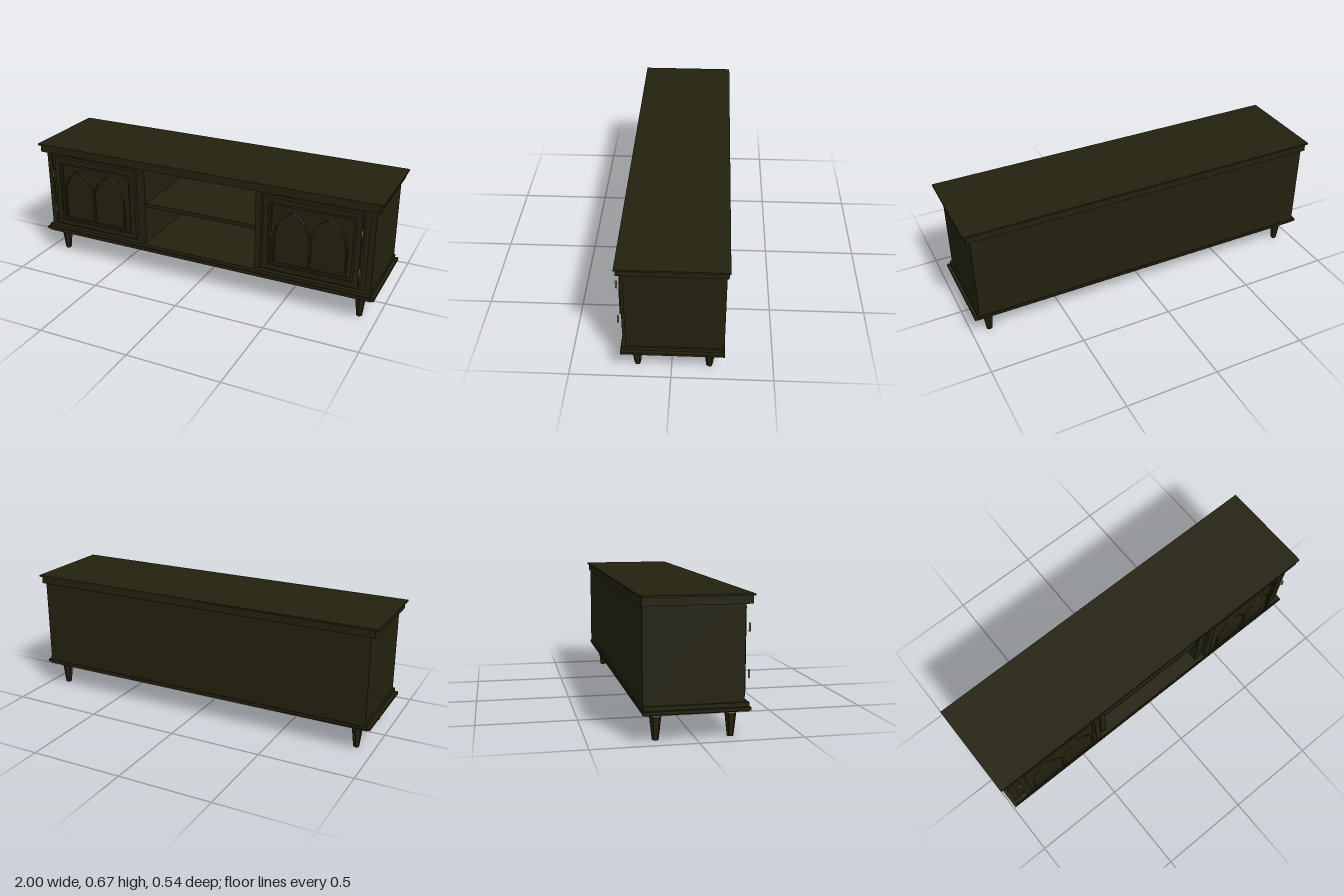
import * as THREE from 'three';

const wood = new THREE.MeshStandardMaterial({ color: 0x23210f });
wood.name = 'dark olive wood';
const brass = new THREE.MeshStandardMaterial({ color: 0x806440 });
brass.name = 'aged brass';
const bronze = new THREE.MeshStandardMaterial({ color: 0x32280f });
bronze.name = 'dark bronze';

function add(parent, name, geometry, material = wood) {
  const mesh = new THREE.Mesh(geometry, material);
  mesh.name = name;
  parent.add(mesh);
  return mesh;
}

// Box given by its limits on each axis
function block(parent, name, [x0, x1], [y0, y1], [z0, z1], material = wood) {
  const mesh = add(parent, name, new THREE.BoxGeometry(x1 - x0, y1 - y0, z1 - z0), material);
  mesh.position.set((x0 + x1) / 2, (y0 + y1) / 2, (z0 + z1) / 2);
  return mesh;
}

// Rectangular frame with a rectangular opening
function frame(parent, name, cx, cy, w, h, border, z0, z1) {
  const rect = (path, a, b) => path.moveTo(-a, -b).lineTo(a, -b).lineTo(a, b).lineTo(-a, b).closePath();
  const shape = rect(new THREE.Shape(), w / 2, h / 2);
  shape.holes.push(rect(new THREE.Path(), w / 2 - border, h / 2 - border));
  const mesh = add(parent, name, new THREE.ExtrudeGeometry(shape, { depth: z1 - z0, bevelEnabled: false }));
  mesh.position.set(cx, cy, z0);
}

// Round rod following straight segments
function rod(parent, name, points, radius, material) {
  for (let i = 1; i < points.length; i++) {
    const line = new THREE.LineCurve3(points[i - 1], points[i]);
    add(parent, name, new THREE.TubeGeometry(line, 1, radius, 8), material);
  }
}

// Half-arch rising from a side bar to the pointed crown
function archSide(parent, footX, crownX) {
  const bulge = footX + (crownX - footX) * 0.2;
  const curve = new THREE.QuadraticBezierCurve3(
    new THREE.Vector3(footX, 0.41, 0.25),
    new THREE.Vector3(bulge, 0.51, 0.25),
    new THREE.Vector3(crownX, 0.543, 0.25));
  add(parent, 'archMoulding', new THREE.TubeGeometry(curve, 16, 0.005, 6), bronze);
}

function buildDoor(side) {
  const door = new THREE.Group();
  door.name = side > 0 ? 'leftDoor' : 'rightDoor';
  const cx = side * 0.642;

  // Stepped frame around a recessed panel
  frame(door, 'doorFrame', cx, 0.398, 0.52, 0.412, 0.03, 0.216, 0.24);
  frame(door, 'innerMoulding', cx, 0.398, 0.462, 0.354, 0.014, 0.216, 0.233);
  block(door, 'doorPanel', [cx - 0.23, cx + 0.23], [0.222, 0.574], [0.214, 0.224]);

  // Twin pointed arches on slim bars
  for (const s of [-1, 1]) {
    const crown = cx + s * 0.0965;
    archSide(door, cx + s * 0.193, crown);
    archSide(door, cx, crown);
    const bx = cx + s * 0.193;
    block(door, 'archBar', [bx - 0.005, bx + 0.005], [0.258, 0.412], [0.245, 0.255]);
    const ex = cx + s * 0.0055;
    block(door, 'centreBarEdge', [ex - 0.0015, ex + 0.0015], [0.258, 0.42], [0.246, 0.254], bronze);
  }
  block(door, 'centreBar', [cx - 0.004, cx + 0.004], [0.258, 0.425], [0.245, 0.255]);

  // Pull handle beside the open bay
  const hx = side * 0.444;
  const pull = [[0.352, 0.255], [0.365, 0.2685], [0.442, 0.2685], [0.455, 0.255]]
    .map(([y, z]) => new THREE.Vector3(hx, y, z));
  pull[0].y += 0.002;
  rod(door, 'handle', pull, 0.0032, brass);

  // Hinge barrels on the outer edge
  for (const y of [0.29, 0.507]) {
    const hinge = add(door, 'hinge', new THREE.CylinderGeometry(0.005, 0.005, 0.04, 10), brass);
    hinge.position.set(side * 0.908, y, 0.2545);
  }
  return door;
}

function buildLeg(x, z) {
  const leg = new THREE.Group();
  leg.name = z > 0 ? 'frontLeg' : 'backLeg';
  const part = (name, rTop, rBottom, y0, y1, material) => {
    const geometry = new THREE.CylinderGeometry(rTop, rBottom, y1 - y0, 6).toNonIndexed();
    geometry.computeVertexNormals();
    add(leg, name, geometry, material).position.y = (y0 + y1) / 2;
  };
  part('taperedFoot', 0.029, 0.016, 0, 0.113, wood);
  part('legCollar', 0.03, 0.03, 0.113, 0.125, brass);
  part('legBlock', 0.03, 0.03, 0.125, 0.133, wood);
  leg.position.set(x, 0, z);
  return leg;
}

export function createModel() {
  const model = new THREE.Group();
  model.name = 'mediaCabinet';

  // Table top with overhanging lip
  block(model, 'topBlock', [-0.985, 0.985], [0.625, 0.664], [-0.264, 0.247]);
  block(model, 'topLip', [-1, 1], [0.663, 0.672], [-0.27, 0.252]);

  // Stepped plinth
  block(model, 'plinthFoot', [-0.975, 0.975], [0.13, 0.138], [-0.252, 0.238]);
  block(model, 'plinthLip', [-0.99, 0.99], [0.137, 0.152], [-0.258, 0.243]);
  block(model, 'plinthTop', [-0.973, 0.973], [0.152, 0.172], [-0.253, 0.238]);

  // Carcass
  block(model, 'backPanel', [-0.965, 0.965], [0.172, 0.625], [-0.256, -0.237]);
  block(model, 'shelf', [-0.335, 0.335], [0.388, 0.41], [-0.237, 0.205]);
  for (const s of [-1, 1]) {
    const span = (a, b) => (s > 0 ? [a, b] : [-b, -a]);
    block(model, 'sidePanel', span(0.935, 0.965), [0.172, 0.625], [-0.237, 0.218]);
    block(model, 'divider', span(0.33, 0.362), [0.172, 0.625], [-0.237, 0.218]);
    block(model, 'outerStile', span(0.908, 0.935), [0.172, 0.625], [0.19, 0.212]);
    block(model, 'innerStile', span(0.362, 0.39), [0.172, 0.625], [0.19, 0.212]);
    block(model, 'upperRail', span(0.362, 0.935), [0.595, 0.625], [0.19, 0.212]);
    block(model, 'lowerRail', span(0.362, 0.935), [0.172, 0.2], [0.19, 0.212]);
    model.add(buildDoor(s));
    for (const z of [0.169, -0.186]) model.add(buildLeg(s * 0.905, z));
  }
  return model;
}
